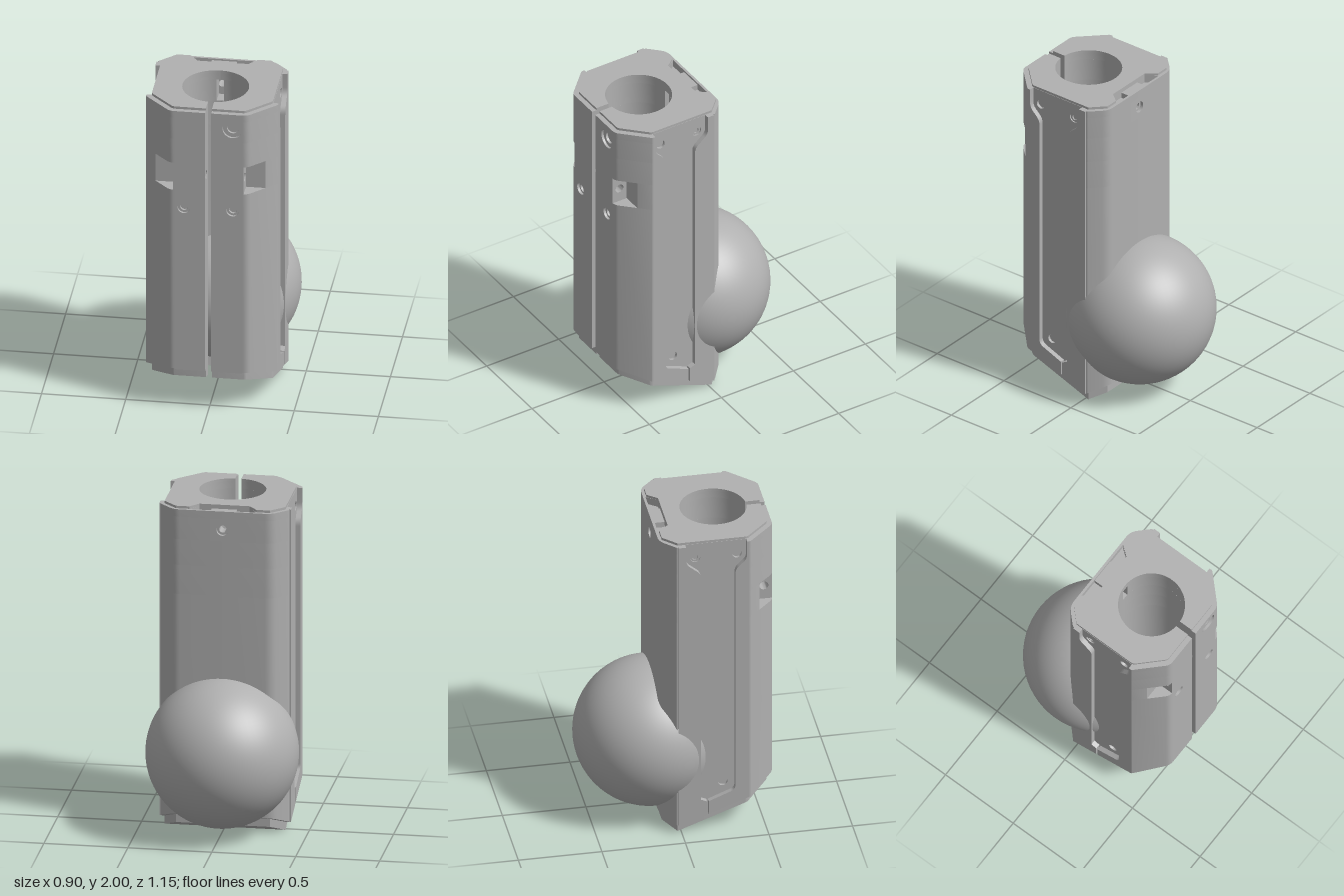
import * as THREE from 'three';
import { toCreasedNormals } from 'three/addons/utils/BufferGeometryUtils.js';

const grey = new THREE.MeshStandardMaterial({ color: 0xb0b0b0 });
grey.name = 'plain grey';

const KINK = -0.02, SLIT = 0.018, BORE = 0.197, BORE_Z = 0.26;
// sloping underside, lowest at the kink line
const under = z => (z > KINK ? 0.37 : -0.5) * (z - KINK);
const skirt = z => under(z) + 0.05;

// expands points [a, b, radius] into a path with rounded corners
function roundCorners(pts) {
  const out = [];
  pts.forEach(([x, y, r], i) => {
    const p = new THREE.Vector2(x, y);
    if (!r) return out.push(p);
    const toward = q => p.clone().add(new THREE.Vector2(q[0] - x, q[1] - y).setLength(r));
    const a = toward(pts[(i + pts.length - 1) % pts.length]);
    const b = toward(pts[(i + 1) % pts.length]);
    out.push(...new THREE.QuadraticBezierCurve(a, p, b).getPoints(5));
  });
  return out;
}

function shapeOf(pts, holes = []) {
  const shape = new THREE.Shape(roundCorners(pts));
  for (const [x, y, r] of holes) {
    shape.holes.push(new THREE.Path().absarc(x, y, r, 0, Math.PI * 2, true));
  }
  return shape;
}

const extrude = (shape, depth) =>
  new THREE.ExtrudeGeometry(shape, { depth, bevelEnabled: false, curveSegments: 16 });

// bore wall from the back round to the front slit
function boreArc(gap) {
  const t0 = Math.asin(gap / BORE), t1 = Math.PI - Math.asin(SLIT / BORE);
  return Array.from({ length: 33 }, (_, i) => {
    const t = t0 + (t1 - t0) * i / 32;
    return [BORE * Math.sin(t), BORE_Z - BORE * Math.cos(t)];
  });
}

export function createModel() {
  const group = new THREE.Group();
  const add = (name, geo) => {
    const mesh = new THREE.Mesh(toCreasedNormals(geo, 0.5), grey);
    mesh.name = name;
    group.add(mesh);
  };

  // plan outline in x, z raised between two heights, mirrored to both sides
  function slab(name, pts, bottom, top) {
    const at = (h, z) => (typeof h === 'function' ? h(z) : h);
    for (const s of [1, -1]) {
      const geo = extrude(shapeOf(pts.map(([x, z, r]) => [s * x, z, r])), 1);
      geo.rotateX(Math.PI / 2);
      const p = geo.attributes.position;
      for (let i = 0; i < p.count; i++) {
        p.setY(i, at(p.getY(i) > -0.5 ? top : bottom, p.getZ(i)));
      }
      add(name, geo);
    }
  }
  // outline in z, y with thickness from x0 to x1, on both sides
  function sidePlate(name, pts, x0, x1, holes) {
    for (const s of [1, -1]) {
      const geo = extrude(shapeOf(pts, holes), x1 - x0);
      geo.rotateY(-Math.PI / 2).translate(s > 0 ? x1 : -x0, 0, 0);
      add(name, geo);
    }
  }
  // outline in x, y with thickness from z0 to z1
  function facePlate(name, pts, z0, z1, holes) {
    add(name, extrude(shapeOf(pts, holes), z1 - z0).translate(0, 0, z0));
  }

  const noseFull = [[SLIT, 0.542], [0.2, 0.542], [0.2, 0.572], [0.23, 0.572, 0.025], [0.392, 0.41, 0.008]];
  const nosePocket = [[SLIT, 0.475], [0.327, 0.475], [0.392, 0.41, 0.008]];
  const front = (nose, gap = 0) => [...nose, [0.392, 0.4], [0.345, 0.4], [0.345, KINK], [gap, KINK], ...boreArc(gap)];
  const back = (gap = 0) => [[gap, KINK], [0.392, KINK, 0.02], [0.292, -0.12, 0.04], [gap, -0.12]];
  const backNotched = [...back(), [0, -0.105], [0.2, -0.105], [0.15, -0.04], [0, -0.04]];

  // body, stacked in layers
  const layers = [
    [skirt, 1.46, front(noseFull), back()],
    [1.46, 1.64, front(nosePocket), back()],
    [1.64, 1.8, front(noseFull), back()],
    [1.8, 1.94, front(noseFull, 0.022), back(0.07)],
    [1.94, 1.985, front(noseFull), backNotched],
  ];
  for (const [y0, y1, frontPts, backPts] of layers) {
    slab('bodyFront', frontPts, y0, y1);
    slab('bodyBack', backPts, y0, y1);
  }

  // inset rims at the two ends
  const rim = [[SLIT, 0.542], [0.215, 0.542, 0.015], [0.36, 0.397, 0.015], [0.36, KINK], [0, KINK], ...boreArc(0)];
  slab('topRimFront', rim, 1.985, 2);
  slab('topRimBack', [[0, KINK], [0.36, KINK], [0.28, -0.1], [0.2, -0.1], [0.15, -0.04], [0, -0.04]], 1.985, 2);
  slab('bottomRimFront', rim, under, skirt);
  slab('bottomRimBack', [[0, KINK], [0.36, KINK], [0.28, -0.1], [0, -0.1]], under, skirt);

  // small block in the top notch
  add('notchBlock', new THREE.BoxGeometry(0.15, 0.035, 0.06).translate(0, 1.958, -0.073));

  // front plates with screw holes, and the pierced cheeks of the corner pockets
  const rect = (a0, a1, b0, b1) => [[a0, b0], [a1, b0], [a1, b1], [a0, b1]];
  for (const s of [1, -1]) {
    const lo = Math.min(s * SLIT, s * 0.2), hi = Math.max(s * SLIT, s * 0.2), hx = s * 0.145;
    facePlate('frontPlateLower', rect(lo, hi, 0.263, 1.46), 0.542, 0.572, [[hx, 1.345, 0.037]]);
    facePlate('frontPlateUpper', rect(lo, hi, 1.64, 1.985), 0.542, 0.572, [[hx, 1.89, 0.06]]);
  }
  sidePlate('pocketCheek', rect(0.475, 0.572, 1.46, 1.64), SLIT, 0.21, [[0.525, 1.55, 0.027]]);

  // stepped rings inside the screw holes
  function ring(name, r0, r1, depth, place) {
    const shape = new THREE.Shape().absarc(0, 0, r1, 0, Math.PI * 2);
    shape.holes.push(new THREE.Path().absarc(0, 0, r0, 0, Math.PI * 2, true));
    add(name, place(extrude(shape, depth)));
  }
  for (const s of [1, -1]) {
    ring('upperScrewRing', 0.035, 0.06, 0.015, g => g.translate(s * 0.145, 1.89, 0.542));
    ring('lowerScrewRing', 0.024, 0.037, 0.015, g => g.translate(s * 0.145, 1.345, 0.542));
    ring('sideScrewRing', 0.018, 0.03, 0.008,
      g => g.rotateY(s * Math.PI / 2).translate(s * 0.346, 1.89, 0.085));
  }

  // back hole leading into the bore
  const backBlock = rect(-0.07, 0.07, 1.8, 1.94);
  facePlate('backHoleInner', backBlock, -0.1, KINK, [[0, 1.87, 0.022]]);
  facePlate('backHoleOuter', backBlock, -0.12, -0.1, [[0, 1.87, 0.035]]);

  // recess floor and the raised panels that frame it
  const zf = 0.4;
  sidePlate('recessFloor', [[KINK, skirt(KINK)], [zf, skirt(zf)], [zf, 1.985], [KINK, 1.985]], 0.345, 0.362,
    [[0.335, 1.89, 0.028], [0.085, 1.89, 0.03], [0.25, 0.315, 0.028]]);
  sidePlate('sidePanelFront', [[zf, 1.985], [0.39, 1.985], [0.39, 1.865, 0.03], [0.32, 1.8, 0.03],
    [0.32, 0.27, 0.03], [0.16, 0.205], [0.16, skirt(0.16)], [zf, skirt(zf)]], 0.362, 0.392);
  sidePlate('sidePanelBack', [[KINK, 1.985], [0.025, 1.985], [0.025, 1.865, 0.03], [0.115, 1.79, 0.03],
    [0.115, 0.22], [0.15, 0.205], [0.15, skirt(0.15)], [KINK, skirt(KINK)]], 0.362, 0.392);

  // large ball set into the back
  add('ball', new THREE.SphereGeometry(0.452, 64, 48).translate(0, 0.497, -0.122));

  return group;
}
